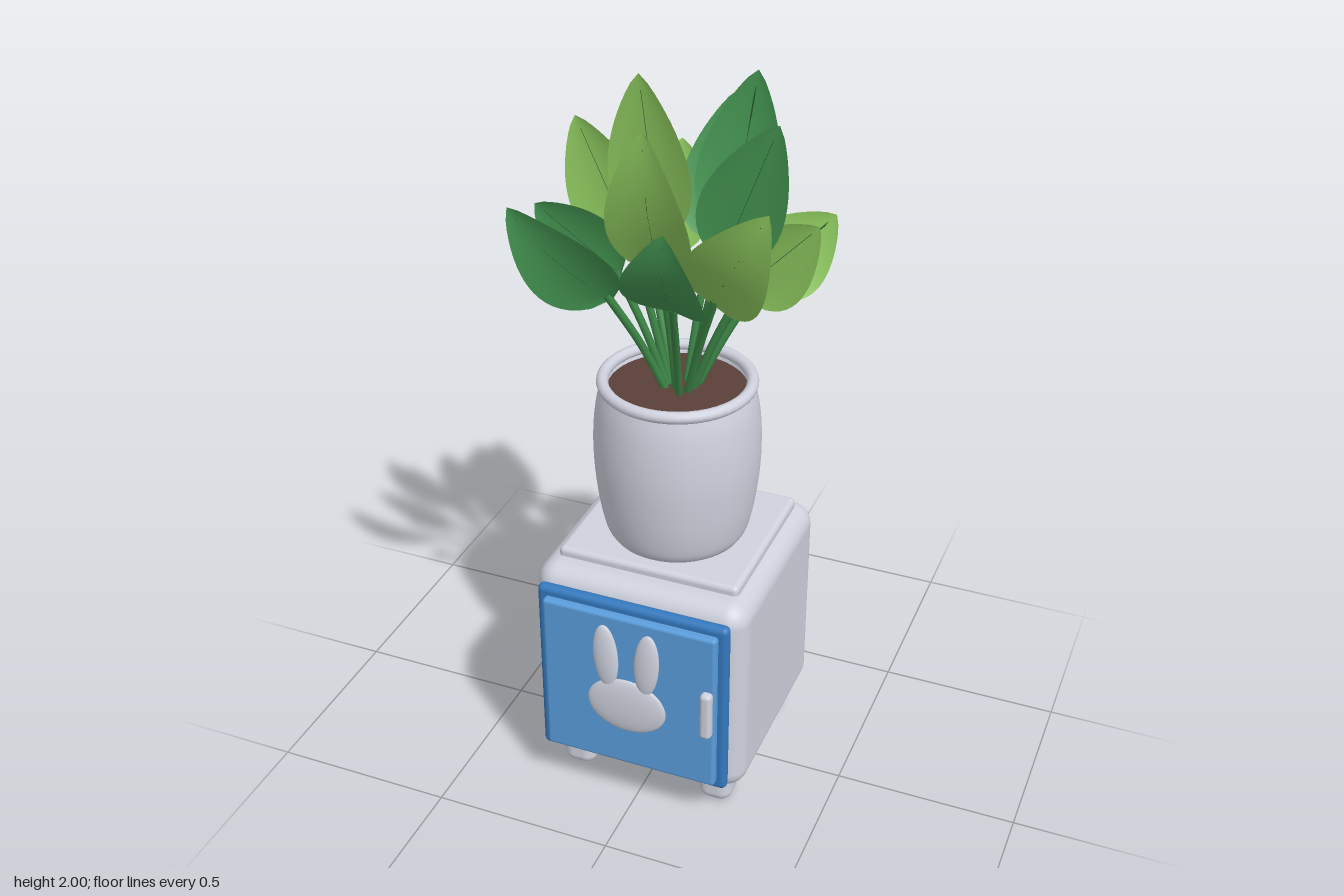
import * as THREE from 'three';
import { RoundedBoxGeometry } from 'three/addons/geometries/RoundedBoxGeometry.js';

const mat = (name, color, side = THREE.FrontSide) => {
  const m = new THREE.MeshStandardMaterial({ color, side });
  m.name = name;
  return m;
};
const V = (x, y, z) => new THREE.Vector3(x, y, z);

// Leaf blade: oval cross-section loops along a curved midrib, edges cupped forward
function leafGeometry(curve, side, normal, halfWidth) {
  const rows = 18, cols = 8, pos = [], idx = [];
  for (let i = 0; i <= rows; i++) {
    const t = i / rows;
    const w = halfWidth * Math.pow(Math.max(0, Math.sin(Math.PI * Math.pow(t, 0.7))), 0.75);
    const c = curve.getPoint(t);
    for (let j = 0; j <= cols; j++) {
      const s = (j / cols) * 2 - 1;
      const p = c.clone().addScaledVector(side, s * w).addScaledVector(normal, 0.018 * s * s * w / halfWidth);
      pos.push(p.x, p.y, p.z);
      if (i < rows && j < cols) {
        const a = i * (cols + 1) + j, b = a + cols + 1;
        idx.push(a, a + 1, b, a + 1, b + 1, b);
      }
    }
  }
  const g = new THREE.BufferGeometry();
  g.setAttribute('position', new THREE.Float32BufferAttribute(pos, 3));
  g.setIndex(idx);
  g.computeVertexNormals();
  return g;
}

export function createModel() {
  const root = new THREE.Group();
  root.name = 'pottedPlantOnCabinet';
  const white = mat('pale grey', 0xcfd2de, THREE.DoubleSide);
  const frameBlue = mat('deep blue', 0x3479be);
  const panelBlue = mat('sky blue', 0x5a9ddb);
  const soilBrown = mat('soil brown', 0x5a4038);
  const lightLeaf = mat('light leaf green', 0x8ac45c, THREE.DoubleSide);
  const darkLeaf = mat('dark leaf green', 0x439350, THREE.DoubleSide);
  const stemGreen = mat('stem green', 0x3c8546);
  const ribGreen = mat('rib green', 0x24562c);

  const add = (name, geo, material, x = 0, y = 0, z = 0, parent = root) => {
    const m = new THREE.Mesh(geo, material);
    m.name = name;
    m.position.set(x, y, z);
    parent.add(m);
    return m;
  };
  const box = (w, h, d, r) => new RoundedBoxGeometry(w, h, d, 4, r);

  // Cabinet
  add('cabinetBody', box(0.6, 0.61, 0.595, 0.06), white, 0, 0.39, -0.0225);
  add('cabinetTop', box(0.51, 0.06, 0.47, 0.015), white, 0, 0.69, -0.035);
  for (const x of [-0.205, 0.205])
    for (const z of [0.185, -0.225])
      add('foot', box(0.094, 0.1, 0.094, 0.032), white, x, 0.05, z);

  // Door
  add('doorFrame', box(0.54, 0.54, 0.034, 0.016), frameBlue, 0, 0.395, 0.292);
  add('doorPanel', box(0.49, 0.49, 0.03, 0.01), panelBlue, 0, 0.395, 0.316);
  add('doorHandle', box(0.032, 0.145, 0.03, 0.012), white, 0.225, 0.4, 0.339);

  // Rabbit ornament on the door
  const ball = new THREE.SphereGeometry(1, 32, 20);
  add('rabbitHead', ball, white, 0, 0.365, 0.342).scale.set(0.112, 0.085, 0.015);
  for (const s of [-1, 1]) {
    const ear = add('rabbitEar', ball, white, s * 0.058, 0.515, 0.342);
    ear.scale.set(0.035, 0.1, 0.015);
    ear.rotation.z = -s * 0.06;
  }

  // Pot with rolled rim, hollow down to the soil
  const potZ = -0.018;
  const profile = new THREE.SplineCurve([
    [0.178, 0.72], [0.194, 0.75], [0.21, 0.83], [0.221, 0.94],
    [0.221, 1.03], [0.213, 1.11], [0.2, 1.165],
  ].map(p => new THREE.Vector2(...p))).getPoints(30);
  const potPoints = [new THREE.Vector2(0.001, 0.72), ...profile,
    new THREE.Vector2(0.186, 1.165), new THREE.Vector2(0.182, 1.12)];
  add('pot', new THREE.LatheGeometry(potPoints, 48), white, 0, 0, potZ);
  const rim = add('potRim', new THREE.TorusGeometry(0.195, 0.016, 12, 48), white, 0, 1.172, potZ);
  rim.rotation.x = Math.PI / 2;
  add('soil', new THREE.CylinderGeometry(0.184, 0.184, 0.03, 48), soilBrown, 0, 1.135, potZ);

  // Leaves: base, tip, colour
  const leaves = [
    [[-0.085, 1.44, -0.17], [-0.125, 1.69, -0.36], lightLeaf],
    [[0.03, 1.5, -0.165], [0.045, 1.86, -0.32], darkLeaf],
    [[-0.13, 1.43, -0.14], [-0.23, 1.68, -0.26], darkLeaf],
    [[0.09, 1.55, -0.11], [0.135, 1.96, -0.205], darkLeaf],
    [[0.17, 1.42, -0.13], [0.333, 1.59, -0.26], lightLeaf],
    [[-0.13, 1.53, -0.03], [-0.29, 1.835, -0.06], lightLeaf],
    [[-0.14, 1.46, 0.015], [-0.37, 1.62, 0.02], darkLeaf],
    [[0.16, 1.45, -0.025], [0.365, 1.665, -0.015], lightLeaf],
    [[0.13, 1.55, 0.02], [0.27, 1.92, 0.025], darkLeaf],
    [[-0.04, 1.58, 0.0], [-0.08, 2.0, 0.03], lightLeaf],
    [[-0.13, 1.43, 0.09], [-0.36, 1.68, 0.19], darkLeaf],
    [[0, 1.52, 0.08], [0, 1.93, 0.2], lightLeaf],
    [[0.13, 1.46, 0.08], [0.31, 1.775, 0.2], lightLeaf],
    [[0.065, 1.47, 0.17], [0.095, 1.735, 0.31], darkLeaf],
  ];
  for (const [b, t, material] of leaves) {
    const base = V(...b), tip = V(...t);
    const dir = tip.clone().sub(base).normalize();
    const side = dir.clone().cross(V(0, 0, 1)).normalize();
    const normal = side.clone().cross(dir).normalize();
    const bend = base.z > 0.05 ? 0.07 : base.z < -0.1 ? -0.035 : 0;
    const mid = base.clone().lerp(tip, 0.5).addScaledVector(normal, bend);
    const curve = new THREE.QuadraticBezierCurve3(base, mid, tip);

    const stalk = new THREE.Group();
    stalk.name = 'leafStalk';
    root.add(stalk);
    add('leafBlade', leafGeometry(curve, side, normal, 0.108), material, 0, 0, 0, stalk);

    // Thin rib along the back of the blade
    const ribPoints = [0.02, 0.3, 0.6, 0.9].map(u => curve.getPoint(u).addScaledVector(normal, -0.002));
    add('leafRib', new THREE.TubeGeometry(new THREE.CatmullRomCurve3(ribPoints), 12, 0.0025, 5), ribGreen, 0, 0, 0, stalk);

    // Stem from the middle of the soil
    const foot = V(base.x * 0.2, 1.13, -0.03 + base.z * 0.2);
    const stemMid = foot.clone().lerp(base, 0.5).add(V(0, 0.01, 0));
    const end = curve.getPoint(0.06).addScaledVector(normal, -0.005);
    add('stem', new THREE.TubeGeometry(new THREE.CatmullRomCurve3([foot, stemMid, end]), 12, 0.0105, 8), stemGreen, 0, 0, 0, stalk);
  }
  return root;
}
